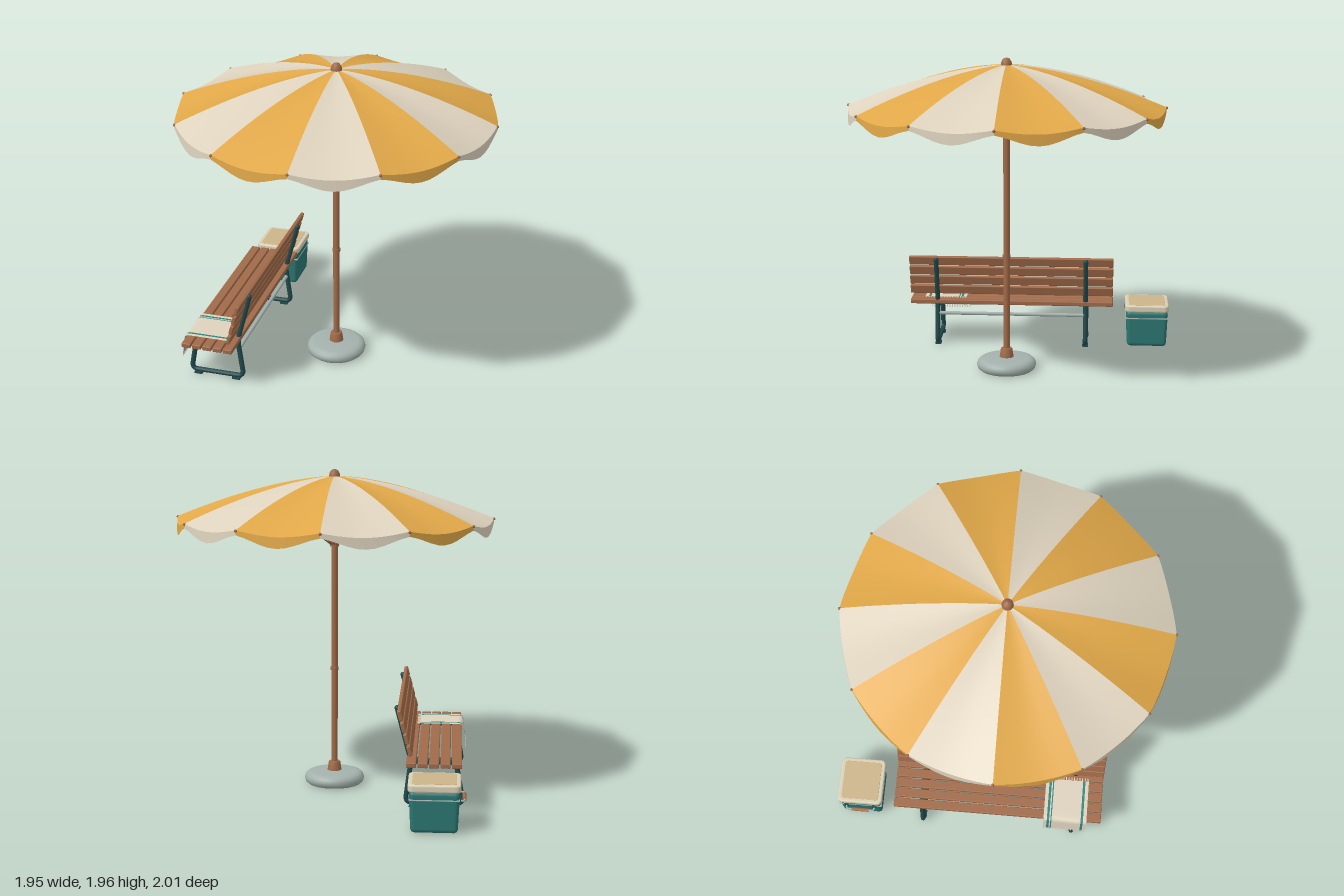
import * as THREE from 'three';
import { RoundedBoxGeometry } from 'three/addons/geometries/RoundedBoxGeometry.js';

const mat = (name, color, side = THREE.FrontSide) => {
  const m = new THREE.MeshStandardMaterial({ color, side });
  m.name = name;
  return m;
};
const V = (x, y, z) => new THREE.Vector3(x, y, z);

export function createModel() {
  const M = {
    wood: mat('wood', 0xa06a49),
    orange: mat('orange canvas', 0xe0a748, THREE.DoubleSide),
    cream: mat('cream canvas', 0xddd2bd, THREE.DoubleSide),
    frame: mat('dark teal metal', 0x21494b),
    teal: mat('teal plastic', 0x2b7772),
    stripe: mat('teal cloth', 0x2e8580, THREE.DoubleSide),
    stone: mat('grey stone', 0xa3b1ac),
    lid: mat('pale lid', 0xd9cfb4),
    panel: mat('tan panel', 0xcbb48a),
  };
  const model = new THREE.Group();
  const group = (name, parent = model) => {
    const g = new THREE.Group();
    g.name = name;
    parent.add(g);
    return g;
  };
  const add = (parent, name, geo, material, x = 0, y = 0, z = 0) => {
    const m = new THREE.Mesh(geo, material);
    m.name = name;
    m.position.set(x, y, z);
    parent.add(m);
    return m;
  };
  const box = (w, h, d) => new THREE.BoxGeometry(w, h, d);
  const lathe = (pts, n = 32) => new THREE.LatheGeometry(pts.map((p) => new THREE.Vector2(...p)), n);
  // Straight round bar between two points
  const bar = (parent, name, a, b, r, material, sides = 10) => {
    const m = add(parent, name, new THREE.CylinderGeometry(r, r, a.distanceTo(b), sides), material);
    m.position.copy(a).add(b).multiplyScalar(0.5);
    m.quaternion.setFromUnitVectors(V(0, 1, 0), b.clone().sub(a).normalize());
    return m;
  };
  // Polyline with rounded corners
  const roundedPath = (pts, r) => {
    const path = new THREE.CurvePath();
    let last = pts[0];
    for (let i = 1; i < pts.length - 1; i++) {
      const p = pts[i];
      const a = p.clone().add(pts[i - 1].clone().sub(p).setLength(r));
      const b = p.clone().add(pts[i + 1].clone().sub(p).setLength(r));
      path.add(new THREE.LineCurve3(last, a));
      path.add(new THREE.QuadraticBezierCurve3(a, p, b));
      last = b;
    }
    path.add(new THREE.LineCurve3(last, pts[pts.length - 1]));
    return path;
  };
  // Smooth grid surface from a function of u, v
  const surface = (nu, nv, fn) => {
    const pos = [], idx = [];
    for (let i = 0; i <= nu; i++) for (let j = 0; j <= nv; j++) pos.push(...fn(i / nu, j / nv));
    for (let i = 0; i < nu; i++) for (let j = 0; j < nv; j++) {
      const a = i * (nv + 1) + j, d = a + nv + 1;
      idx.push(a, a + 1, d + 1, a, d + 1, d);
    }
    const g = new THREE.BufferGeometry();
    g.setAttribute('position', new THREE.Float32BufferAttribute(pos, 3));
    g.setIndex(idx);
    g.computeVertexNormals();
    return g;
  };

  // ---------- Parasol ----------
  const parasol = group('parasol');
  parasol.position.z = 0.033;
  add(parasol, 'base', lathe([[0, 0.003], [0.165, 0.003], [0.18, 0.016], [0.186, 0.036], [0.18, 0.056],
    [0.165, 0.07], [0.14, 0.078], [0.04, 0.083], [0, 0.083]], 40), M.stone);
  add(parasol, 'socket', lathe([[0.045, 0.078], [0.043, 0.09], [0.036, 0.135], [0.03, 0.14], [0, 0.14]], 24), M.wood);
  add(parasol, 'pole', new THREE.CylinderGeometry(0.02, 0.02, 1.8, 20), M.wood, 0, 1.0, 0);
  add(parasol, 'poleJoint', new THREE.CylinderGeometry(0.024, 0.024, 0.02, 20), M.wood, 0, 0.73, 0);
  add(parasol, 'runnerHub', new THREE.CylinderGeometry(0.027, 0.027, 0.03, 20), M.wood, 0, 1.505, 0);
  add(parasol, 'topHub', new THREE.CylinderGeometry(0.032, 0.032, 0.04, 20), M.wood, 0, 1.88, 0);
  add(parasol, 'finial', lathe([[0.034, 1.9], [0.035, 1.915], [0.031, 1.937], [0.02, 1.955], [0, 1.963]], 20), M.wood);

  const R = 0.966, ribY = (t) => 1.92 - 0.25 * t ** 1.6;
  for (let k = 0; k < 12; k++) {
    const a0 = (k * Math.PI) / 6, cloth = k % 2 ? M.orange : M.cream;
    // Canvas sags between the ribs
    const canvas = (u, t, drop = 0) => {
      const a = a0 + (u * Math.PI) / 6, s = Math.sin(Math.PI * u);
      const r = t * (R - 0.016 * s) + drop * 0.004 * s;
      return [r * Math.sin(a), ribY(t) - 0.028 * t * s - drop * (0.028 + 0.036 * s * s), r * Math.cos(a)];
    };
    add(parasol, 'canopyPanel', surface(10, 14, (u, v) => canvas(u, 0.02 + 0.98 * v)), cloth);
    add(parasol, 'valance', surface(10, 2, (u, v) => canvas(u, 1, v)), cloth);
    // Rib, stretcher and rib tip
    const at = (r, y) => V(r * Math.sin(a0), y, r * Math.cos(a0));
    const pts = [];
    for (let i = 0; i <= 8; i++) {
      const t = 0.03 + (0.96 * i) / 8;
      pts.push(at(t * R, ribY(t) - 0.012));
    }
    add(parasol, 'rib', new THREE.TubeGeometry(new THREE.CatmullRomCurve3(pts), 16, 0.008, 6), M.wood);
    bar(parasol, 'stretcher', at(0.022, 1.505), at(0.45, ribY(0.45 / R) - 0.014), 0.007, M.wood, 6);
    const tip = at(R, ribY(1) - 0.004);
    add(parasol, 'ribTip', new THREE.SphereGeometry(0.009, 8, 6), M.wood, tip.x, tip.y, tip.z);
  }

  // ---------- Bench, seat facing -x ----------
  const bench = group('bench');
  const midZ = 0.035, len = 1.333;
  for (let i = 0; i < 5; i++)
    add(bench, 'seatSlat', new RoundedBoxGeometry(0.058, 0.03, len, 2, 0.006), M.wood, -0.763 + 0.0665 * i, 0.297, midZ);
  for (let i = 0; i < 4; i++) {
    const s = add(bench, 'backSlat', new RoundedBoxGeometry(0.024, 0.06, len, 2, 0.006), M.wood,
      -0.431 - 0.0185 * i, 0.588 - 0.069 * i, midZ);
    s.rotation.z = -0.27;
  }
  for (const z of [midZ + 0.488, midZ - 0.488]) {
    // Sled leg continuing into the back post
    const path = roundedPath([V(-0.757, 0.278, z), V(-0.802, 0.026, z), V(-0.46, 0.026, z),
      V(-0.492, 0.28, z), V(-0.408, 0.598, z)], 0.04);
    add(bench, 'legFrame', new THREE.TubeGeometry(path, 90, 0.0155, 10), M.frame);
    add(bench, 'postCap', new THREE.SphereGeometry(0.0155, 10, 8), M.frame, -0.408, 0.598, z);
    add(bench, 'seatBearer', box(0.29, 0.02, 0.03), M.frame, -0.625, 0.273, z);
    for (const x of [-0.755, -0.507])
      add(bench, 'foot', box(0.05, 0.014, 0.038), M.frame, x, 0.009, z);
  }
  bar(bench, 'rearStretcher', V(-0.486, 0.217, midZ - 0.488), V(-0.486, 0.217, midZ + 0.488), 0.012, M.stone);
  bar(bench, 'frontStretcher', V(-0.764, 0.235, midZ - 0.488), V(-0.764, 0.235, midZ + 0.488), 0.01, M.frame);

  // ---------- Towel over the seat edge ----------
  const towel = group('towel');
  const drape = roundedPath([V(-0.53, 0.317, 0), V(-0.804, 0.317, 0), V(-0.822, 0.18, 0)], 0.025);
  const edges = [0.335, 0.357, 0.372, 0.38, 0.387, 0.558, 0.565, 0.573, 0.588, 0.61];
  for (let i = 0; i < edges.length - 1; i++)
    add(towel, i % 2 ? 'towelStripe' : 'towelCloth', surface(1, 24, (u, v) => {
      const p = drape.getPointAt(v);
      return [p.x, p.y, edges[i] + u * (edges[i + 1] - edges[i])];
    }), i % 2 && i !== 5 && i !== 4 ? M.stripe : M.cream);
  for (let i = 0; i < 16; i++) {
    const z = 0.342 + (0.261 * i) / 15;
    add(towel, 'fringe', box(0.004, 0.02, 0.006), M.cream, -0.823, 0.172, z);
    add(towel, 'fringe', box(0.02, 0.003, 0.006), M.cream, -0.521, 0.316, z);
  }

  // ---------- Cool box ----------
  const cooler = group('coolBox');
  cooler.position.set(-0.637, 0, -0.857);
  const body = new RoundedBoxGeometry(0.284, 0.24, 0.276, 4, 0.025);
  const p = body.attributes.position;
  for (let i = 0; i < p.count; i++) {
    const k = 0.965 + 0.035 * (p.getY(i) / 0.12);
    p.setXYZ(i, p.getX(i) * k, p.getY(i), p.getZ(i) * k);
  }
  body.computeVertexNormals();
  add(cooler, 'body', body, M.teal, 0, 0.125, 0);
  add(cooler, 'band', new RoundedBoxGeometry(0.286, 0.008, 0.278, 3, 0.0035), M.stone, 0, 0.197, 0);
  // Rounded slab lying flat, with bevelled edges
  const slab = (w, d, h, r, bevel) => {
    const x = w / 2 - bevel, y = d / 2 - bevel, s = new THREE.Shape();
    s.absarc(x - r, y - r, r, 0, Math.PI / 2);
    s.absarc(r - x, y - r, r, Math.PI / 2, Math.PI);
    s.absarc(r - x, r - y, r, Math.PI, Math.PI * 1.5);
    s.absarc(x - r, r - y, r, Math.PI * 1.5, Math.PI * 2);
    const g = new THREE.ExtrudeGeometry(s, { depth: h - 2 * bevel, bevelThickness: bevel, bevelSize: bevel, bevelSegments: 3, curveSegments: 6 });
    return g.rotateX(-Math.PI / 2).translate(0, bevel, 0);
  };
  add(cooler, 'lid', slab(0.298, 0.286, 0.044, 0.022, 0.01), M.lid, 0, 0.241, 0);
  add(cooler, 'lidPanel', slab(0.25, 0.238, 0.006, 0.018, 0.002), M.panel, 0, 0.282, 0);
  // Side handle
  const handle = roundedPath([V(-0.14, 0.19, -0.09), V(-0.168, 0.185, -0.09), V(-0.168, 0.185, 0.09), V(-0.14, 0.19, 0.09)], 0.015);
  add(cooler, 'handleBow', new THREE.TubeGeometry(handle, 40, 0.006, 8), M.stone);
  bar(cooler, 'handleGrip', V(-0.168, 0.185, -0.055), V(-0.168, 0.185, 0.055), 0.012, M.wood, 12);
  for (const z of [-0.09, 0.09]) add(cooler, 'handleMount', box(0.014, 0.032, 0.026), M.frame, -0.142, 0.19, z);
  // Drain plug
  const plug = add(cooler, 'drainPlug', new THREE.CylinderGeometry(0.014, 0.014, 0.012, 16), M.frame, -0.085, 0.222, 0.139);
  plug.rotation.x = Math.PI / 2;

  return model;
}
